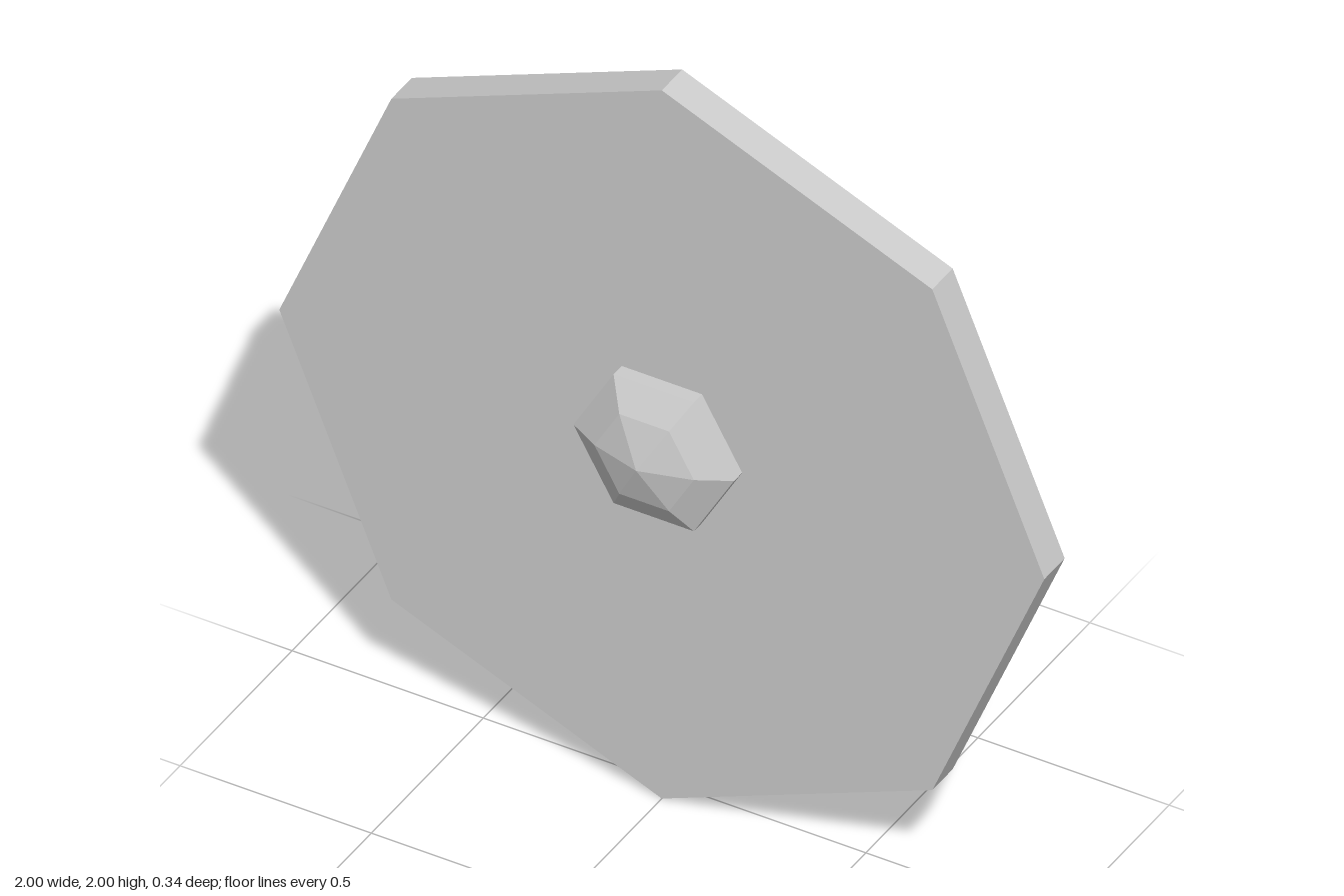
import * as THREE from 'three';

const material = new THREE.MeshStandardMaterial({ color: 0xcccccc, flatShading: true });

// Faceted turned part: profile of [radius, z], axis along z, corners on the x axis
function turned(name, profile, sides) {
  const points = profile.map(([r, z]) => new THREE.Vector2(r, z));
  const geometry = new THREE.LatheGeometry(points, sides, Math.PI / 2);
  geometry.rotateX(Math.PI / 2);
  const mesh = new THREE.Mesh(geometry, material);
  mesh.name = name;
  mesh.position.y = 1;
  return mesh;
}

export function createModel() {
  const group = new THREE.Group();
  group.name = 'shield';

  // Octagonal board with a raised rim around the recessed back
  group.add(turned('board', [
    [0, 0.012], [0.93, 0.012], [0.93, -0.034], [1, -0.034], [1, 0.057], [0, 0.057],
  ], 8));

  // Hexagonal domed boss on the front
  group.add(turned('boss', [
    [0, 0.05], [0.21, 0.05], [0.21, 0.093], [0.13, 0.136], [0, 0.172],
  ], 6));

  // Hexagonal mounts for the handle
  for (const side of [-1, 1]) {
    const mount = turned(side < 0 ? 'rightMount' : 'leftMount', [
      [0, -0.052], [0.096, -0.052], [0.096, 0.012], [0, 0.012],
    ], 6);
    mount.position.x = side * 0.32;
    group.add(mount);
  }

  // Bent strap handle: half outline in (x, depth behind the board), mirrored
  const outer = [[0.353, 0.082], [0.262, 0.082]];
  const inner = [[0.25, 0.052], [0.353, 0.052]];
  const mirror = (pts) => pts.map(([x, d]) => [-x, d]).reverse();
  const outline = [
    ...outer, [0, 0.172], ...mirror(outer),
    ...mirror(inner), [0, 0.145], ...inner,
  ];
  const shape = new THREE.Shape(outline.map(([x, d]) => new THREE.Vector2(x, d)));
  const strap = new THREE.ExtrudeGeometry(shape, { depth: 0.06, bevelEnabled: false });
  strap.translate(0, 0, -0.03);
  strap.rotateX(-Math.PI / 2); // shape depth now runs towards -z
  const handle = new THREE.Mesh(strap, material);
  handle.name = 'handle';
  handle.position.y = 1;
  group.add(handle);

  return group;
}
